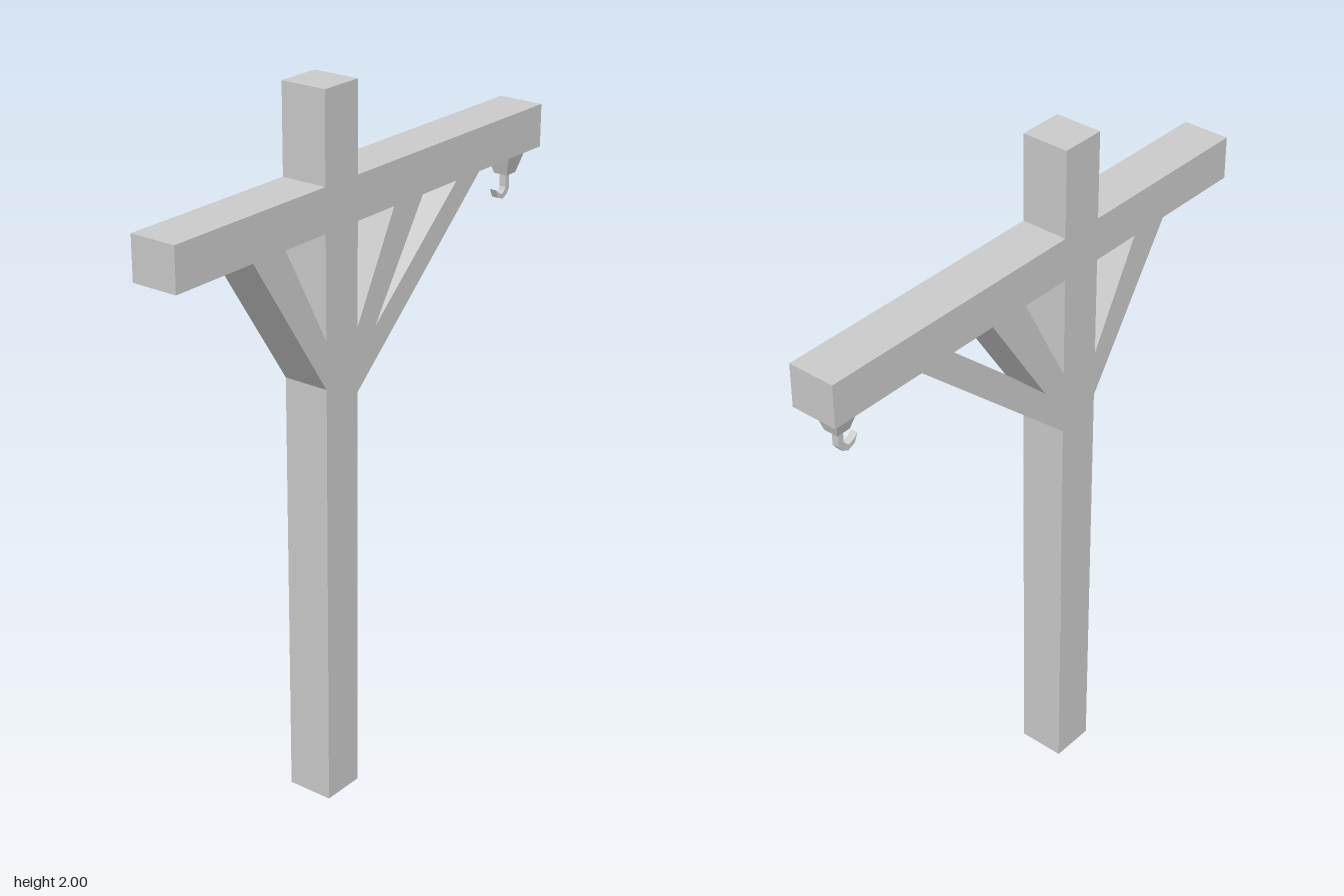
import * as THREE from 'three';

const WIDTH = 0.134;              // timber thickness in x
const POST = [0.073, 0.2];        // post extent in z
const BEAM = [1.638, 1.758];      // beam extent in y
const END = 0.74;                 // beam ends at z = +/- END

export function createModel() {
  const group = new THREE.Group();
  const material = new THREE.MeshStandardMaterial({ color: 0xcccccc, flatShading: true });

  const add = (name, geometry) => {
    const mesh = new THREE.Mesh(geometry, material);
    mesh.name = name;
    group.add(mesh);
    return mesh;
  };

  // Extrudes a [z, y] outline along x, centred on x = 0
  const slab = (name, points, width = WIDTH) => {
    const shape = new THREE.Shape(points.map(([z, y]) => new THREE.Vector2(-z, y)));
    const geometry = new THREE.ExtrudeGeometry(shape, { depth: width, bevelEnabled: false });
    geometry.translate(0, 0, -width / 2).rotateY(Math.PI / 2);
    return add(name, geometry);
  };
  const timber = (name, [z0, z1], [y0, y1]) =>
    slab(name, [[z0, y0], [z1, y0], [z1, y1], [z0, y1]]);

  // Post with a beam arm on either side
  timber('post', POST, [0, 2]);
  timber('frontArm', [POST[1], END], BEAM);
  timber('backArm', [-END, POST[0]], BEAM);

  // Diagonal braces under the arms
  const [back, front] = POST;
  const under = BEAM[0];
  slab('frontBrace', [[front, 1.224], [0.472, under], [0.353, under], [front, 1.356]]);
  slab('shortBackBrace', [[back, 1.356], [-0.077, under], [-0.199, under], [0, 1.335], [back, 1.271]]);
  slab('longBackBrace', [[back, 1.271], [0, 1.335], [-0.347, under], [-0.451, under], [back, 1.176]]);

  // Tapered square block that carries the hook
  const block = new THREE.CylinderGeometry(0.041 * Math.SQRT2, 0.021 * Math.SQRT2, 0.07, 4);
  block.rotateY(Math.PI / 4);
  add('hookBlock', block).position.set(0, under - 0.035, -0.67);

  // Hook, opening toward the post
  slab('hook', [
    [-0.678, 1.57], [-0.678, 1.523], [-0.667, 1.508], [-0.648, 1.499],
    [-0.626, 1.508], [-0.615, 1.532], [-0.628, 1.521], [-0.645, 1.514],
    [-0.656, 1.52], [-0.661, 1.53], [-0.661, 1.57],
  ], 0.02);

  return group;
}
